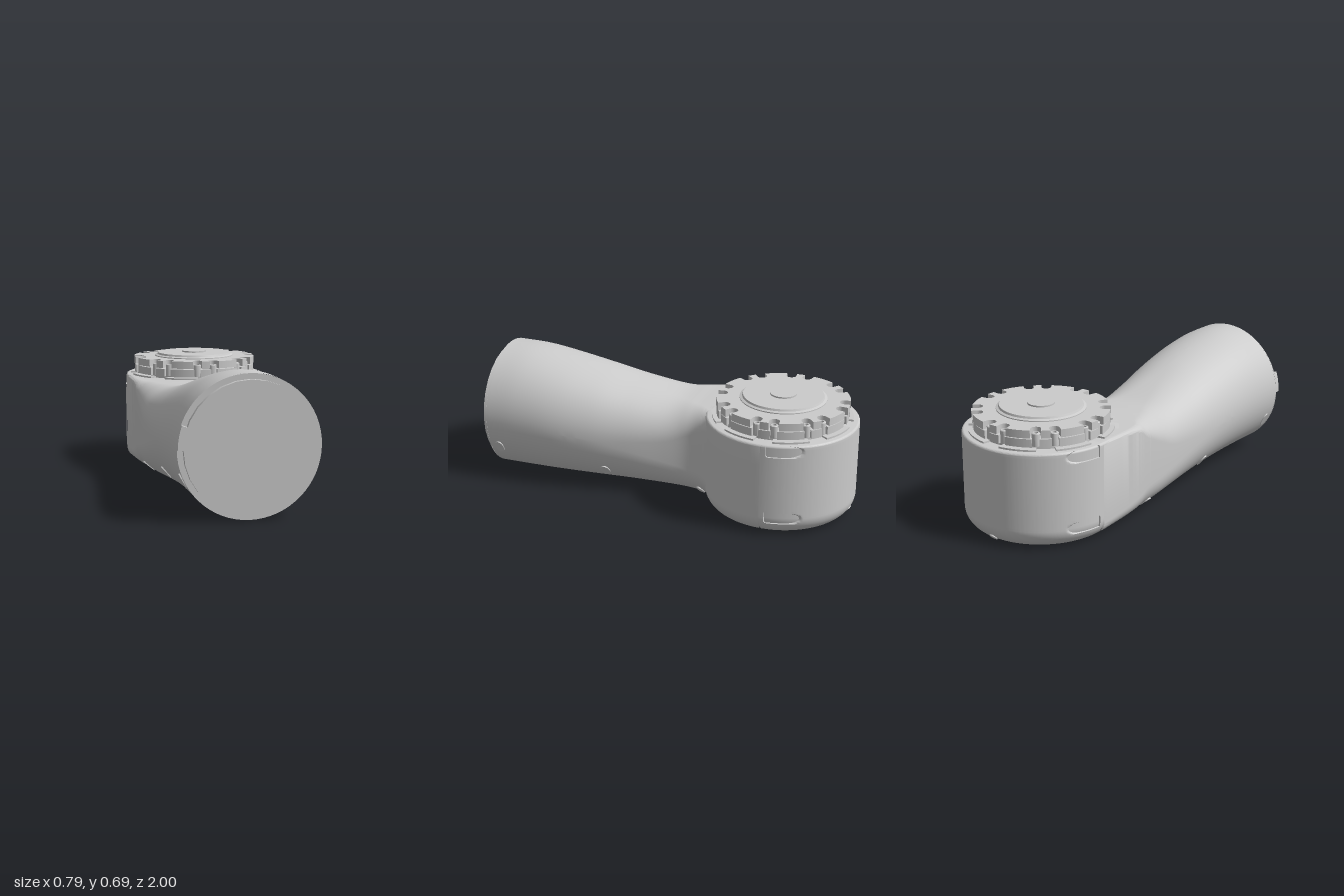
import * as THREE from 'three';
import { toCreasedNormals } from 'three/addons/utils/BufferGeometryUtils.js';

const grey = new THREE.MeshStandardMaterial({ color: 0xcccccc });
const HUB_Z = -0.605, HUB_R = 0.395, HUB_H = 0.5;
const LEFT_X = -0.395, END_X = -0.0515, END_Y = 0.346, END_R = 0.3445;

// Arm keys: z, right edge x, top y, bottom and top corner roundness (1 = ellipse)
const KEYS = [
  [0.975, 0.292, 0.692, 1, 1], [0.8, 0.291, 0.687, 1, 1], [0.6, 0.28, 0.655, 1, 1],
  [0.4, 0.25, 0.61, 0.98, 0.98], [0.2, 0.205, 0.555, 0.92, 0.9], [0, 0.158, 0.508, 0.8, 0.75],
  [-0.12, 0.14, 0.5, 0.7, 0.55], [-0.2, 0.152, 0.5, 0.65, 0.4], [-0.25, 0.185, 0.5, 0.6, 0.3],
  [-0.3, 0.25, 0.5, 0.5, 0.15], [-0.4, 0.32, 0.5, 0.4, 0.08], [-0.6, 0.36, 0.5, 0.3, 0.06],
];
const spline = (pick) => new THREE.CatmullRomCurve3(
  KEYS.map((k) => new THREE.Vector3(...pick(k))), false, 'catmullrom', 0.5);
const sizeCurve = spline((k) => [k[0], k[1], k[2]]);
const roundCurve = spline((k) => [k[3], k[4], 0]);

// Point on the arm skin: t along the arm, corner 0..3 (top right, top left, ...), angle
function armPoint(t, corner, angle) {
  const s = sizeCurve.getPoint(t), f = roundCurve.getPoint(t);
  const w = (s.y - LEFT_X) / 2, h = s.z / 2;
  const round = Math.min(1, corner < 2 ? f.y : f.x);
  const sx = corner === 0 || corner === 3 ? 1 : -1, sy = corner < 2 ? 1 : -1;
  return new THREE.Vector3(
    LEFT_X + w + sx * w * (1 - round) + w * round * Math.cos(angle),
    h + sy * h * (1 - round) + h * round * Math.sin(angle), s.x);
}

function armGeometry() {
  const rows = 88, seg = 14, loop = 4 * (seg + 1), pos = [], index = [];
  for (let i = 0; i <= rows; i++) {
    for (let c = 0; c < 4; c++) {
      for (let k = 0; k <= seg; k++) {
        pos.push(...armPoint(i / rows, c, (c + k / seg) * Math.PI / 2).toArray());
      }
    }
  }
  for (let i = 0; i < rows; i++) {
    for (let j = 0; j < loop; j++) {
      const a = i * loop + j, b = i * loop + (j + 1) % loop;
      index.push(a, a + loop, b, b, a + loop, b + loop);
    }
  }
  const g = new THREE.BufferGeometry();
  g.setAttribute('position', new THREE.Float32BufferAttribute(pos, 3));
  g.setIndex(index);
  return toCreasedNormals(g, 0.6);
}

// Hub profile with a large bottom fillet and a small top one
function hubProfile(steps) {
  const p = [new THREE.Vector2(0, 0)], rb = 0.1, rt = 0.012;
  for (let i = 0; i <= 16; i++) {
    const a = i / 16 * Math.PI / 2;
    p.push(new THREE.Vector2(HUB_R - rb + rb * Math.sin(a), rb - rb * Math.cos(a)));
  }
  for (let i = 1; i < steps; i++) {
    p.push(new THREE.Vector2(HUB_R, rb + (HUB_H - rt - rb) * i / steps));
  }
  for (let i = 0; i <= 5; i++) {
    const a = i / 5 * Math.PI / 2;
    p.push(new THREE.Vector2(HUB_R - rt + rt * Math.cos(a), HUB_H - rt + rt * Math.sin(a)));
  }
  p.push(new THREE.Vector2(0, HUB_H));
  return p;
}

// Rear half of the hub with screw pockets sunk into both flanks
const SLOTS = [0.1, 0.469], SLOT_R = 0.029;
function rearGeometry() {
  const g = new THREE.LatheGeometry(hubProfile(60), 160, Math.PI / 2, Math.PI);
  const p = g.attributes.position;
  for (let i = 0; i < p.count; i++) {
    for (const y of SLOTS) {
      const d = Math.abs(p.getY(i) - y);
      if (d > SLOT_R || p.getZ(i) > -0.03) continue;
      const limit = 0.365 - Math.sqrt(SLOT_R ** 2 - d * d);
      p.setX(i, THREE.MathUtils.clamp(p.getX(i), -limit, limit));
    }
  }
  return toCreasedNormals(g, 0.6);
}

// Flange disc with an open U notch at every bolt
const BOLT_R = 0.315, BOLTS = [];
for (let i = 0; i < 8; i++) for (const s of [-1, 1]) BOLTS.push(i * Math.PI / 4 + s * 0.14);
function notchedDisc(radius, notch, depth) {
  const shape = new THREE.Shape(), half = Math.asin(notch / radius);
  BOLTS.forEach((a, i) => {
    shape.absarc(BOLT_R * Math.cos(a), BOLT_R * Math.sin(a), notch,
      a - Math.PI / 2, a - Math.PI * 1.5, true);
    const next = i + 1 < BOLTS.length ? BOLTS[i + 1] : BOLTS[0] + Math.PI * 2;
    shape.absarc(0, 0, radius, a + half, next - half, false);
  });
  shape.closePath();
  return new THREE.ExtrudeGeometry(shape, { depth, bevelEnabled: false, curveSegments: 10 });
}

function sector(r0, r1, a0, a1, depth) {
  const s = new THREE.Shape();
  s.absarc(0, 0, r1, a0, a1, false);
  s.absarc(0, 0, r0, a1, a0, true);
  s.closePath();
  return new THREE.ExtrudeGeometry(s, { depth, bevelEnabled: false, curveSegments: 12 });
}

export function createModel() {
  const model = new THREE.Group();
  model.name = 'roboticArmLink';
  const add = (name, geometry, parent = model, x = 0, y = 0, z = 0) => {
    const m = new THREE.Mesh(geometry, grey);
    m.name = name;
    m.position.set(x, y, z);
    parent.add(m);
    return m;
  };
  const lathe = (pts, n = 64) => toCreasedNormals(
    new THREE.LatheGeometry(pts.map((p) => new THREE.Vector2(...p)), n), 0.5);

  // Arm and its round end
  add('arm', armGeometry());
  add('endRim', new THREE.CylinderGeometry(END_R, END_R, 0.006, 64), model, END_X, END_Y, 0.972)
    .rotation.x = Math.PI / 2;
  add('endSpigot', new THREE.CylinderGeometry(0.318, 0.318, 0.03, 28), model, END_X, END_Y, 0.985)
    .rotation.x = Math.PI / 2;
  add('endKey', sector(0.31, END_R, 2.8, Math.PI, 0.026), model, END_X, END_Y, 0.974);

  // Oval screw openings along both lower flanks
  const flank = [[0.92, -27], [0.33, -38], [-0.19, -48]];
  for (const [z, deg] of flank) {
    let t = 0;
    while (sizeCurve.getPoint(t).x > z) t += 0.002;
    for (const side of [1, -1]) {
      const a = THREE.MathUtils.degToRad(side > 0 ? deg : 180 - deg), c = side > 0 ? 3 : 2;
      const p = armPoint(t, c, a);
      const n = armPoint(t, c, a + 0.02).sub(p)
        .cross(armPoint(t + 0.004, c, a).sub(p)).normalize().negate();
      const hole = add('flankScrewOpening', new THREE.CylinderGeometry(1, 1, 0.008, 24), model, ...p.toArray());
      hole.scale.set(0.04, 1, 0.025);
      const along = new THREE.Vector3(0, 0, 1).addScaledVector(n, -n.z).normalize();
      hole.quaternion.setFromRotationMatrix(
        new THREE.Matrix4().makeBasis(n.clone().cross(along), n, along));
    }
  }

  // Hub: front shell, rear cover and a liner showing in the seam between them
  const hub = new THREE.Group();
  hub.name = 'hub';
  hub.position.z = HUB_Z;
  model.add(hub);
  add('frontShell', toCreasedNormals(
    new THREE.LatheGeometry(hubProfile(4), 64, -Math.PI / 2, Math.PI), 0.6), hub, 0, 0, 0.003);
  add('rearCover', rearGeometry(), hub, 0, 0, -0.002);
  const liner = add('seamLiner', new THREE.LatheGeometry(hubProfile(2), 64), hub, 0, 0.004, 0);
  liner.scale.set(0.985, 0.985, 0.985);
  for (const y of SLOTS) {
    for (const s of [-1, 1]) {
      add('coverScrew', new THREE.CylinderGeometry(0.021, 0.021, 0.025, 16), hub, s * 0.362, y, -0.04)
        .rotation.x = Math.PI / 2;
    }
  }
  const rearBolt = add('rearBolt', new THREE.CylinderGeometry(0.022, 0.022, 0.02, 16), hub, 0, 0.032, -0.362);
  rearBolt.rotation.x = Math.PI / 4 + Math.PI;

  // Output flange: raised pads, two notched discs, seam and cap
  const flat = (name, g, y) => { add(name, g, hub, 0, y, 0).rotation.x = -Math.PI / 2; };
  for (let i = 0; i < 8; i++) {
    const a = Math.PI / 8 + i * Math.PI / 4;
    flat('raisedPad', sector(0.28, 0.365, a - 0.26, a + 0.26, 0.01), 0.499);
  }
  add('flangeNeck', new THREE.CylinderGeometry(0.325, 0.325, 0.02, 64), hub, 0, 0.509, 0);
  flat('lowerFlange', notchedDisc(0.342, 0.018, 0.042), 0.513);
  add('flangeSeam', new THREE.CylinderGeometry(0.285, 0.285, 0.02, 64), hub, 0, 0.556, 0);
  flat('upperFlange', notchedDisc(0.345, 0.026, 0.04), 0.56);
  add('flangeCap', lathe([[0.225, 0.595], [0.225, 0.605], [0.212, 0.61], [0.208, 0.62], [0, 0.62]]), hub);
  add('centreDisc', new THREE.CylinderGeometry(0.069, 0.069, 0.014, 40), hub, 0, 0.621, 0);

  // Socket-head bolts in the notches
  const boltShape = [[0.021, 0], [0.021, 0.062], [0.018, 0.065], [0.011, 0.065], [0.011, 0.05], [0, 0.05]];
  const boltGeometry = lathe(boltShape, 14);
  for (const a of BOLTS) {
    add('flangeBolt', boltGeometry, hub, BOLT_R * Math.cos(a), 0.515, BOLT_R * Math.sin(a));
  }
  return model;
}
